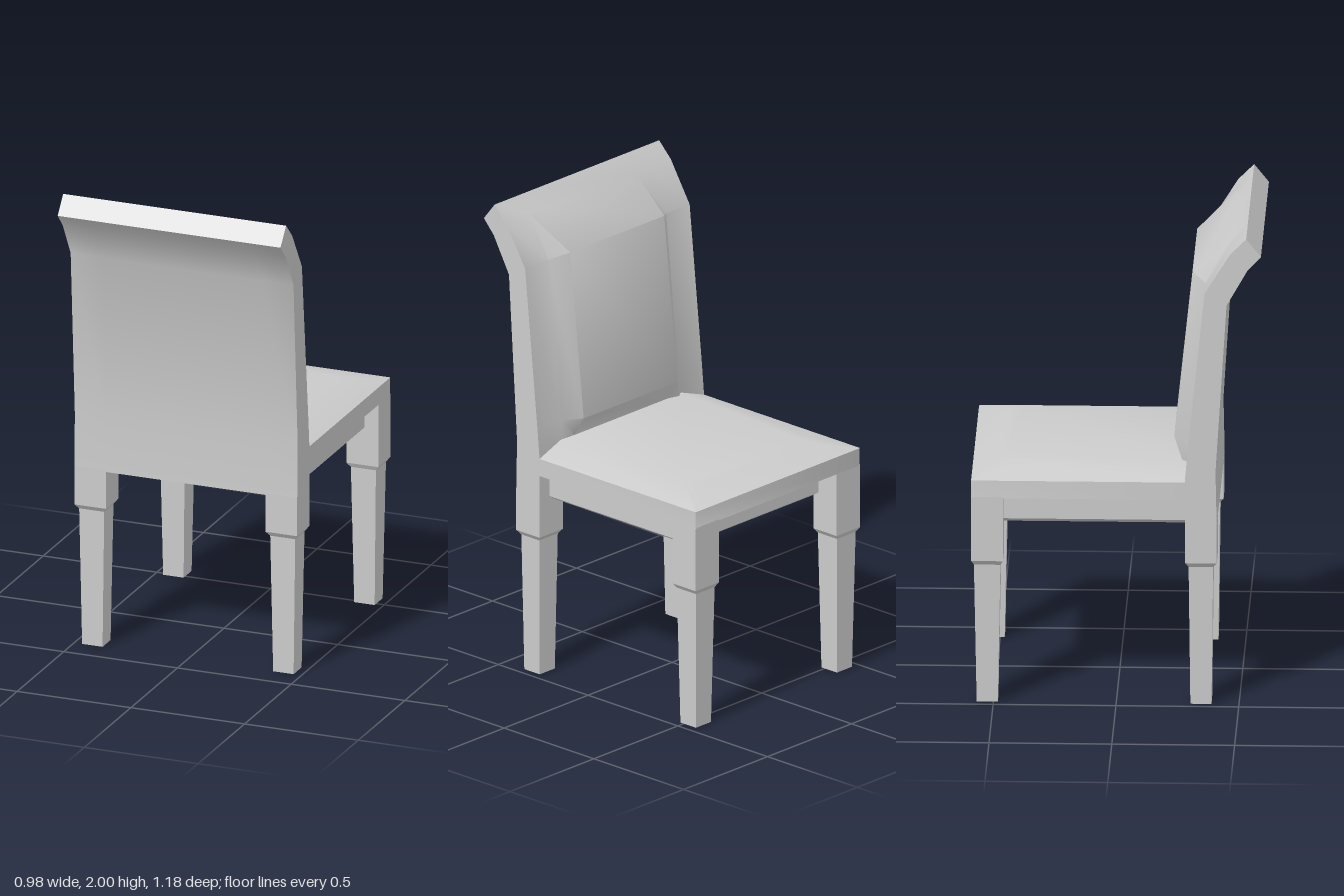
import * as THREE from 'three';
import { toCreasedNormals } from 'three/addons/utils/BufferGeometryUtils.js';

const material = new THREE.MeshStandardMaterial({ color: 0xcccccc });
const openMaterial = new THREE.MeshStandardMaterial({ color: 0xcccccc, side: THREE.DoubleSide });

// Skin a list of equal-length rings of Vector3. `axes` are the two axes the caps lie in.
function loft(rings, axes, { startCap = true, crease = 0.6 } = {}) {
  const n = rings[0].length, points = rings.flat(), tris = [];
  for (let k = 0; k < rings.length - 1; k++) {
    for (let i = 0; i < n; i++) {
      const j = (i + 1) % n, a = k * n, b = a + n;
      tris.push([a + i, a + j, b + j], [a + i, b + j, b + i]);
    }
  }
  const cap = (ring) => THREE.ShapeUtils.triangulateShape(
    ring.map((p) => new THREE.Vector2(p[axes[0]], p[axes[1]])), [],
  ).map((t) => [...t].sort((a, b) => a - b));
  const last = (rings.length - 1) * n;
  for (const [a, b, c] of cap(rings[rings.length - 1])) tris.push([last + a, last + b, last + c]);
  if (startCap) for (const [a, b, c] of cap(rings[0])) tris.push([c, b, a]);

  // Turn every face outwards
  const cross = new THREE.Vector3();
  let volume = 0;
  for (const [a, b, c] of tris) volume += points[a].dot(cross.crossVectors(points[b], points[c]));
  if (volume < 0) tris.forEach((t) => t.reverse());

  const geometry = new THREE.BufferGeometry().setFromPoints(points);
  geometry.setIndex(tris.flat());
  return toCreasedNormals(geometry, crease);
}

// Horizontal rectangle as a ring
function rect(y, x0, x1, z0, z1) {
  return [[x0, z0], [x1, z0], [x1, z1], [x0, z1]].map(([x, z]) => new THREE.Vector3(x, y, z));
}

// Seat outline with cut front corners
function seatRing(y, inset, cut) {
  const x = 0.49 - inset, z = -0.59 + inset, back = 0.3;
  return [[-x, back], [-x, z + cut], [-x + cut, z], [x - cut, z], [x, z + cut], [x, back]]
    .map(([px, pz]) => new THREE.Vector3(px, y, pz));
}

function createLeg(name, side, z, top, backLeg) {
  const ring = (y, hx, hz) => rect(y, side * 0.42 - hx, side * 0.42 + hx, z - hz, z + hz);
  const rings = [
    ring(0, 0.045, 0.043),
    ring(0.59, 0.055, backLeg ? 0.05 : 0.054),
    ring(0.61, 0.07, 0.065),
    ring(top, 0.07, 0.065),
  ];
  const leg = new THREE.Mesh(loft(rings, ['x', 'z'], { startCap: false, crease: 0.3 }), openMaterial);
  leg.name = name;
  return leg;
}

function createBackrest() {
  // Closed side profiles as [z, y]: front edge going up, then the rear going down
  const rear = [[0.53, 2], [0.59, 1.925], [0.535, 1.865], [0.45, 1.715], [0.405, 1], [0.41, 0.77]];
  const edge = [[0.28, 0.77], [0.28, 0.96], [0.291, 1.08], [0.36, 1.765], [0.465, 1.935], ...rear];
  const pad = [[0.28, 0.77], [0.28, 1.0], [0.23, 1.085], [0.305, 1.79], [0.465, 1.935], ...rear];
  // Columns across the width; the padding swells in the middle
  const columns = [[-0.49, edge], [-0.35, edge], [-0.28, pad], [0.28, pad], [0.35, edge], [0.49, edge]];
  const rings = columns.map(([x, profile]) => profile.map(([z, y]) => new THREE.Vector3(x, y, z)));
  const mesh = new THREE.Mesh(loft(rings, ['z', 'y'], { crease: 0.75 }), material);
  mesh.name = 'backrest';
  return mesh;
}

export function createModel() {
  const chair = new THREE.Group();
  chair.name = 'chair';

  // Four tapered legs with thicker upper blocks
  for (const [label, side] of [['left', 1], ['right', -1]]) {
    chair.add(createLeg(`${label}BackrestLeg`, side, 0.345, 0.78, true));
    chair.add(createLeg(`${label}SeatLeg`, side, -0.525, 0.885, false));
  }

  chair.add(createBackrest());

  // Cushion with sloping rim
  const cushion = new THREE.Mesh(loft([
    seatRing(0.88, 0, 0.004),
    seatRing(0.955, 0, 0.004),
    seatRing(1.0, 0.13, 0.05),
  ], ['x', 'z'], { crease: 0.9 }), material);
  cushion.name = 'seatCushion';
  chair.add(cushion);

  // Recessed rails, closed by a shallow panel underneath
  const frame = new THREE.Mesh(loft([
    rect(0.755, -0.4, 0.4, -0.46, 0.28),
    rect(0.775, -0.43, 0.43, -0.49, 0.3),
    rect(0.885, -0.43, 0.43, -0.49, 0.3),
  ], ['x', 'z']), material);
  frame.name = 'seatFrame';
  chair.add(frame);

  return chair;
}
